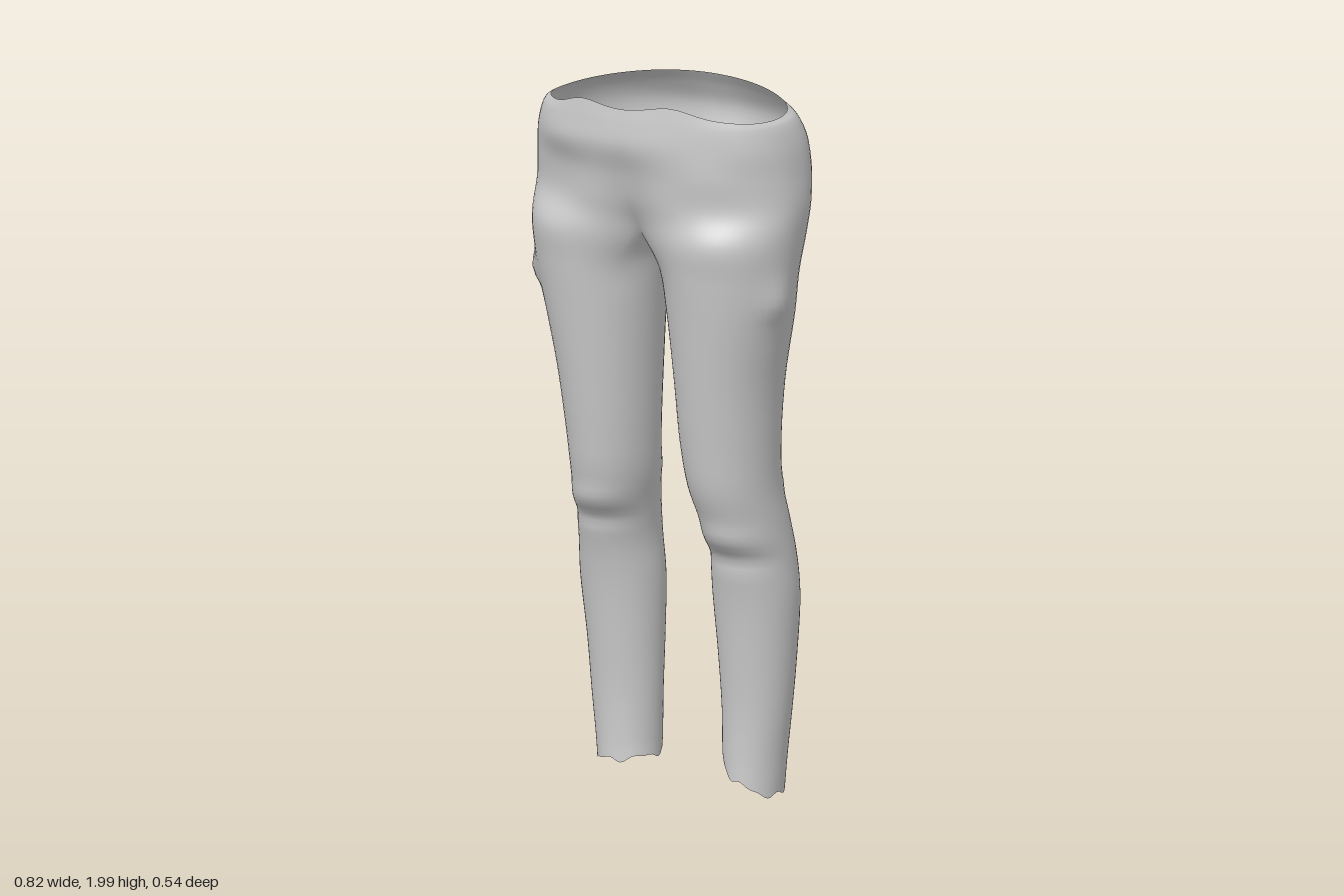
import * as THREE from 'three';
import { mergeGeometries, mergeVertices } from 'three/addons/utils/BufferGeometryUtils.js';

// Leg rings: y, then inner/outer x of the right leg, inner/outer x of the left leg, front z, back z
const LEG = [
  [0.06, 0.105, 0.28, 0.13, 0.288, -0.003, -0.185],
  [0.12, 0.105, 0.287, 0.122, 0.296, -0.005, -0.19],
  [0.25, 0.102, 0.302, 0.118, 0.312, -0.003, -0.192],
  [0.4, 0.097, 0.312, 0.11, 0.327, 0.01, -0.2],
  [0.58, 0.092, 0.326, 0.1, 0.34, 0.033, -0.206],
  [0.7, 0.095, 0.315, 0.105, 0.336, 0.06, -0.195],
  [0.8, 0.085, 0.305, 0.095, 0.33, 0.098, -0.175],
  [0.9, 0.067, 0.3, 0.075, 0.325, 0.133, -0.152],
  [1.02, 0.057, 0.306, 0.06, 0.33, 0.153, -0.141],
  [1.2, 0.045, 0.326, 0.05, 0.347, 0.178, -0.144],
  [1.4, 0.028, 0.363, 0.033, 0.385, 0.205, -0.15],
  [1.52, 0.013, 0.384, 0.014, 0.4, 0.221, -0.158],
  [1.62, 0, 0.396, 0, 0.41, 0.232, -0.192], // crotch
];
// Hip rings: y, right half width, left half width, front z, back z, front groove, back groove
const HIP = [
  [1.71, 0.402, 0.414, 0.24, -0.252, 0.12, 0.2],
  [1.8, 0.4, 0.405, 0.25, -0.276, 0.04, 0.1],
  [1.88, 0.387, 0.392, 0.268, -0.277, 0, 0.04],
  [1.94, 0.362, 0.37, 0.266, -0.245, 0, 0.01],
  [1.97, 0.335, 0.353, 0.26, -0.213, 0, 0],
];
const PANEL = 40, INNER = 12, COLS = PANEL + INNER, SUB = 5;
const A = THREE.MathUtils.degToRad(50); // how far the panel wraps toward the inseam
const CROTCH_ROW = (LEG.length - 1) * SUB;
const ROWS = CROTCH_ROW + HIP.length * SUB;
const bell = (v, w) => Math.exp(-(v * v) / (w * w));

// Point on a leg ring; angle t: 0 front, PI/2 outer, PI back, 3PI/2 inseam
function legPoint(k, t, s) {
  const [y0, inR, outR, inL, outL, zf, zb] = LEG[k];
  const xi = s > 0 ? inL : inR, xo = s > 0 ? outL : outR;
  let sn = Math.sin(t), y = y0;
  const cs = Math.cos(t);
  if (k === LEG.length - 1 && sn < 0) {
    // flatten the inseam side onto the centre plane and dip it into a saddle
    sn = -Math.min(1, -sn / Math.sin(A));
    y = 1.57 + 0.05 * Math.min(1, (cs / Math.cos(A)) ** 2);
  }
  if (k === 0) // ragged, slightly slanted hem
    y += (s > 0 ? -0.042 * sn : -0.008 * sn + 0.012) + 0.006 * Math.sin(5 * t) + 0.004 * Math.sin(9 * t + 1);
  return new THREE.Vector3(s * ((xi + xo) / 2 + (xo - xi) / 2 * sn), y, (zf + zb) / 2 + (zf - zb) / 2 * cs);
}

// Point on a hip ring; angle p: 0 centre front, PI centre back
function hipPoint(k, p, s) {
  const [y0, wR, wL, zf, zb, gf, gb] = HIP[k];
  const sn = Math.sin(p), cs = Math.cos(p);
  const x = (s > 0 ? wL : wR) * sn;
  let z = (zf + zb) / 2 + (zf - zb) / 2 * Math.sign(cs) * Math.abs(cs) ** 0.9;
  z *= 1 - (cs > 0 ? gf : gb) * bell(x, 0.08);
  // front fold: fuller on the right, flatter on the left
  if (k > 1) z += (s > 0 ? -0.03 : 0.03) * sn * bell(p - 0.5, 0.35);
  let y = y0;
  if (k === HIP.length - 1) y += 0.015 * Math.cos(2 * p) + 0.02 * bell(p - 0.4, 0.22); // wavy waistline
  return new THREE.Vector3(s * x, y, z);
}

// Local detail: hip-side pocket tips and knee creases
function addDetail(v, s, sn, cs) {
  if (sn > 0) {
    const w = v.y < 1.44 ? 0.035 : 0.07;
    v.x += s * (s > 0 ? 0.018 : 0.04) * sn * bell(v.y - 1.44, w) * bell(v.z - (s > 0 ? 0.08 : 0.055), 0.055);
  }
  const knee = s > 0 ? 0.7 : 0.77;
  const front = Math.max(0, cs);
  v.z += front * (0.012 * bell(v.y - knee - 0.06, 0.035) - 0.012 * bell(v.y - knee, 0.025));
  v.z -= Math.max(0, -cs) * 0.007 * bell(v.y - 0.9, 0.025);
  return v;
}

// One half of the trousers: a leg tube whose outer panel carries on up to the waist
function half(s) {
  const pos = [], idx = [];
  for (let c = 0; c < COLS; c++) {
    const t = c <= PANEL ? -A + (c / PANEL) * (Math.PI + 2 * A)
      : Math.PI + A + ((c - PANEL) / INNER) * (Math.PI - 2 * A);
    const lower = LEG.map((_, k) => legPoint(k, t, s));
    const upper = c <= PANEL ? HIP.map((_, k) => hipPoint(k, (c / PANEL) * Math.PI, s)) : [];
    const seam = c === 0 || c === PANEL;
    const whole = new THREE.CatmullRomCurve3([...lower, ...upper]);
    const low = new THREE.CatmullRomCurve3(lower);
    const up = seam ? new THREE.CatmullRomCurve3([lower[lower.length - 1], ...upper]) : null;
    for (let r = 0; r <= ROWS; r++) {
      let v;
      if (r <= CROTCH_ROW && (seam || c > PANEL)) v = low.getPoint(r / CROTCH_ROW);
      else if (c > PANEL) v = lower[lower.length - 1].clone(); // unused above the crotch
      else if (seam) v = up.getPoint((r - CROTCH_ROW) / (ROWS - CROTCH_ROW));
      else v = whole.getPoint(r / ROWS);
      if (seam && r >= CROTCH_ROW) v.x = 0;
      addDetail(v, s, Math.sin(t), Math.cos(t));
      pos.push(v.x, v.y, v.z);
    }
  }
  const id = (c, r) => (c % COLS) * (ROWS + 1) + r;
  for (let c = 0; c < COLS; c++) {
    const top = c < PANEL ? ROWS : CROTCH_ROW;
    for (let r = 0; r < top; r++) {
      const a = id(c, r), b = id(c + 1, r), d = id(c, r + 1), e = id(c + 1, r + 1);
      if (s > 0) idx.push(a, b, d, b, e, d);
      else idx.push(a, d, b, b, d, e);
    }
  }
  const g = new THREE.BufferGeometry();
  g.setAttribute('position', new THREE.Float32BufferAttribute(pos, 3));
  g.setIndex(idx);
  return g;
}

export function createModel() {
  const group = new THREE.Group();
  group.name = 'trousers';
  // Weld both halves along the centre seam so shading runs smoothly across it
  const geometry = mergeVertices(mergeGeometries([half(1), half(-1)]), 1e-4);
  geometry.computeVertexNormals();
  const cloth = new THREE.MeshStandardMaterial({ color: 0xcccccc, side: THREE.DoubleSide });
  const mesh = new THREE.Mesh(geometry, cloth);
  mesh.name = 'trouserFabric';
  group.add(mesh);
  return group;
}
